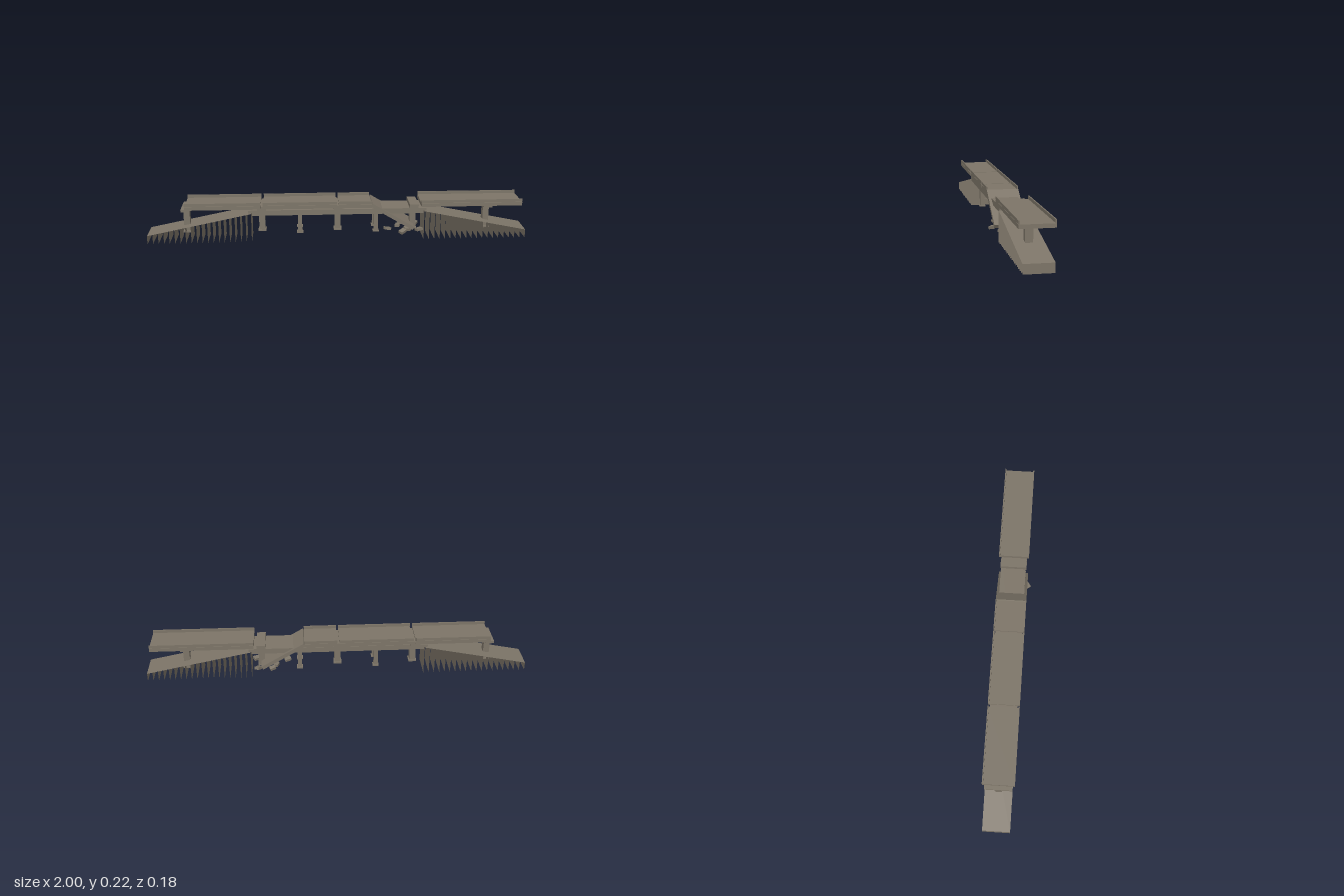
import * as THREE from 'three';

const ZC = -0.008; // centre line of the bridge

export function createModel() {
  const model = new THREE.Group();
  model.name = 'brokenBridge';
  const concrete = new THREE.MeshStandardMaterial({ color: 0x7d7568, side: THREE.DoubleSide });
  concrete.name = 'concrete';

  const add = (name, geometry, parent = model) => {
    const mesh = new THREE.Mesh(geometry, concrete);
    mesh.name = name;
    parent.add(mesh);
    return mesh;
  };
  // Box given by its limits in x and y, with depth and centre in z
  const block = (name, x0, x1, y0, y1, depth, z = ZC, parent = model) => {
    const mesh = add(name, new THREE.BoxGeometry(x1 - x0, y1 - y0, depth), parent);
    mesh.position.set((x0 + x1) / 2, (y0 + y1) / 2, z);
    return mesh;
  };

  // Upper road slabs with a low rail along each edge
  for (const [x0, x1] of [[-0.797, -0.405], [-0.392, -0.007], [0.004, 0.175], [0.437, 0.969]]) {
    const section = new THREE.Group();
    section.name = 'roadSection';
    model.add(section);
    block('roadSlab', x0, x1, 0.185, 0.204, 0.162, ZC, section);
    for (const s of [-1, 1]) block('rail', x0, x1, 0.2055, 0.221, 0.006, ZC + s * 0.078, section);
  }

  // Collapsed slab leaning down through the lower deck
  const slab = add('fallenSlab', new THREE.BoxGeometry(0.26, 0.019, 0.162));
  slab.position.set(0.286, 0.132, ZC);
  slab.rotation.z = -Math.atan2(0.133, 0.222);

  // Lower deck and the girders beneath it
  block('lowerDeck', -0.47, 0.465, 0.16, 0.175, 0.134);
  for (let i = -2; i <= 2; i++) block('girder', -0.45, 0.45, 0.146, 0.16, 0.012, ZC + i * 0.03);

  // Main piers with a foot and a wide crosshead
  for (const x of [-0.795, -0.4, 0, 0.4, 0.793]) {
    const top = Math.abs(x) > 0.5 ? 0.186 : 0.196;
    block('pier', x - 0.016, x + 0.016, 0.045, 0.175, 0.036);
    block('pierFoot', x - 0.021, x + 0.021, 0.045, 0.053, 0.048);
    block('crosshead', x - 0.023, x + 0.023, 0.172, top, 0.14);
  }

  // Slim twin columns between the main piers
  for (const x of [-0.2, 0.2]) {
    for (const s of [-1, 1]) {
      const z = ZC + s * 0.045;
      block('column', x - 0.011, x + 0.011, 0.045, 0.15, 0.022, z);
      block('columnFoot', x - 0.016, x + 0.016, 0.045, 0.052, 0.032, z);
    }
  }

  // End ramps: a sloped sheet on upright cross walls, open along the sides
  const inner = 0.455, low = 0.045, high = 0.157, width = 0.14, walls = 20;
  for (const side of [-1, 1]) {
    const ramp = new THREE.Group();
    ramp.name = side > 0 ? 'leftRamp' : 'rightRamp';
    model.add(ramp);
    const sheet = new THREE.PlaneGeometry(1 - inner, width);
    sheet.rotateX(-Math.PI / 2);
    const p = sheet.attributes.position;
    for (let i = 0; i < p.count; i++) {
      const outer = p.getX(i) * side > 0;
      p.setY(i, outer ? low : high);
    }
    sheet.computeVertexNormals();
    add('rampSurface', sheet, ramp).position.set(side * (1 + inner) / 2, 0, ZC);
    for (let i = 0; i < walls; i++) {
      const t = i / (walls - 1);
      const h = high + (low - high) * t;
      const wall = add('crossWall', new THREE.PlaneGeometry(width, h), ramp);
      wall.rotation.y = side * Math.PI / 2;
      wall.position.set(side * (inner + (1 - inner) * t), h / 2, ZC);
    }
  }

  // Rubble: x, z, size, turn
  const rubble = [
    [0.265, 0.02, 0.034, 0.3], [0.34, 0.07, 0.036, 0.7], [0.325, -0.03, 0.032, 1.2],
    [0.37, 0.03, 0.034, 0.2], [0.43, 0.04, 0.036, 0.5], [0.42, -0.06, 0.034, 1.0],
    [0.345, -0.065, 0.03, 0.4],
  ];
  rubble.forEach(([x, z, size, turn], i) => {
    const chunk = add('rubble', new THREE.BoxGeometry(size, 0.014, size * 0.75));
    chunk.position.set(x, 0.051, z);
    chunk.rotation.set(i % 2 ? 0.2 : -0.15, turn, i % 3 ? 0.12 : -0.18);
  });

  return model;
}
